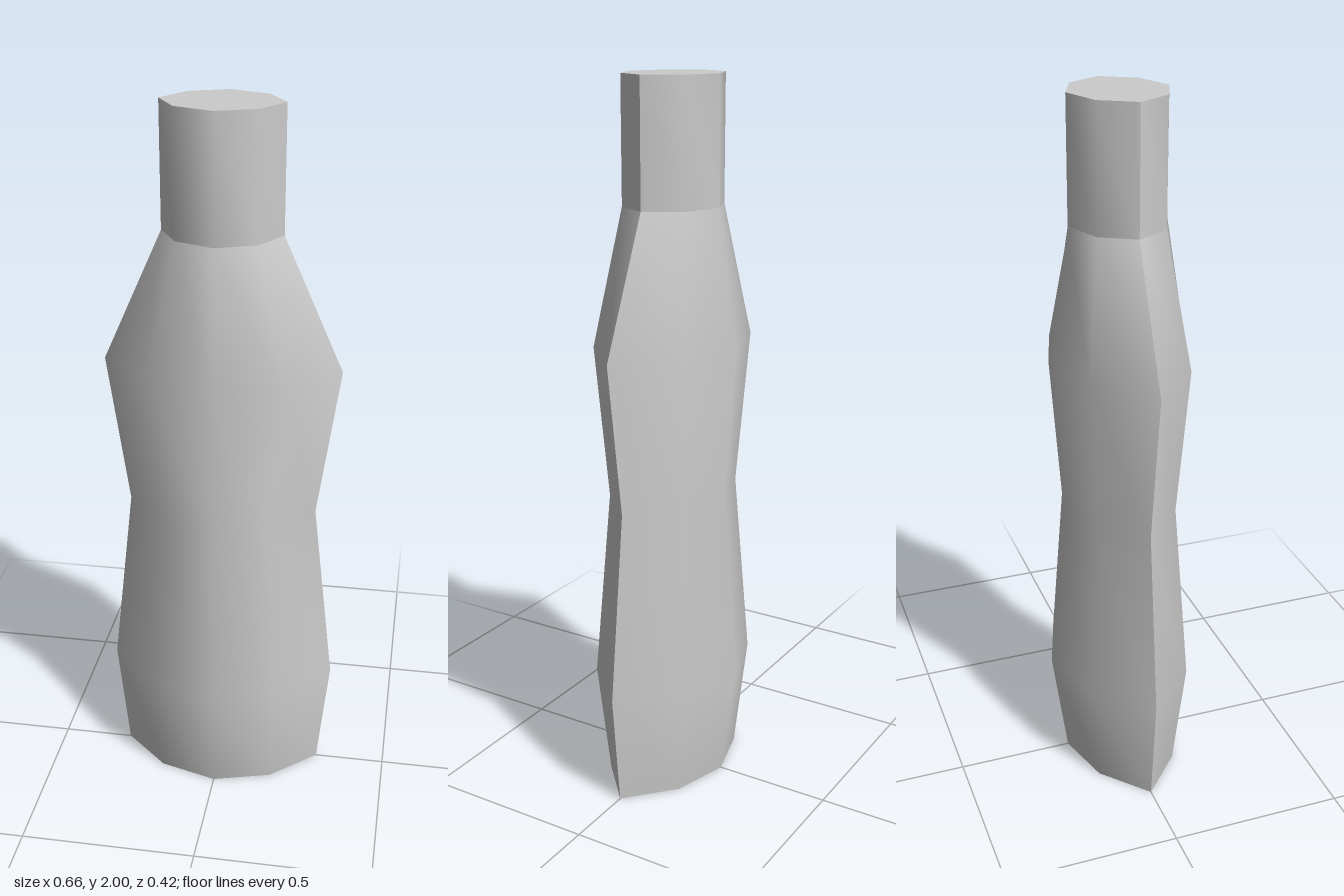
import * as THREE from 'three';

const material = new THREE.MeshStandardMaterial({ color: 0xcccccc });

// Cross-sections: height, half width, half depth, and the corner between them
const ring = (y, w, d, a = 0.56 * w, b = 0.714 * d) => ({ y, w, d, a, b });
const neckBase = ring(1.66, 0.163, 0.137, 0.108, 0.094);
const neckTop = { ...neckBase, y: 2 };
const bodyRings = [
  ring(0, 0.295, 0.165),
  ring(0.325, 0.328, 0.21),
  ring(0.86, 0.267, 0.165),
  ring(1.29, 0.328, 0.197),
  neckBase,
];

// Front half of a section, from +x round to -x, as [x, z]
const halfSection = ({ w, d, a, b }) => [[w, 0], [a, b], [0, d], [-a, b], [-w, 0]];

// Smooth open half shell lofted through the sections
function halfShell(rings) {
  const positions = [], index = [];
  rings.forEach((r, j) => {
    halfSection(r).forEach(([x, z], i) => {
      positions.push(x, r.y, z);
      if (j < rings.length - 1 && i < 4) {
        const p = j * 5 + i;
        index.push(p, p + 5, p + 6, p, p + 6, p + 1);
      }
    });
  });
  const geometry = new THREE.BufferGeometry();
  geometry.setAttribute('position', new THREE.Float32BufferAttribute(positions, 3));
  geometry.setIndex(index);
  geometry.computeVertexNormals();
  return geometry;
}

// Flat eight-sided lid; direction 1 faces up, -1 faces down
function cap(r, direction) {
  const half = halfSection(r);
  const back = half.slice(1, 4).map(([x, z]) => [-x, -z]);
  const outline = [...half, ...back].map(([x, z]) => new THREE.Vector2(x, z));
  return new THREE.ShapeGeometry(new THREE.Shape(outline))
    .rotateX(-direction * Math.PI / 2)
    .translate(0, r.y, 0);
}

export function createModel() {
  const model = new THREE.Group();
  model.name = 'bottle';
  const add = (name, geometry, turn = 0) => {
    const mesh = new THREE.Mesh(geometry, material);
    mesh.name = name;
    mesh.rotation.y = turn;
    model.add(mesh);
  };

  // Separate halves keep the side seams sharp; a separate neck keeps its base sharp
  for (const [side, turn] of [['Front', 0], ['Back', Math.PI]]) {
    add('body' + side, halfShell(bodyRings), turn);
    add('neck' + side, halfShell([neckBase, neckTop]), turn);
  }
  add('topCap', cap(neckTop, 1));
  add('base', cap(bodyRings[0], -1));
  return model;
}
